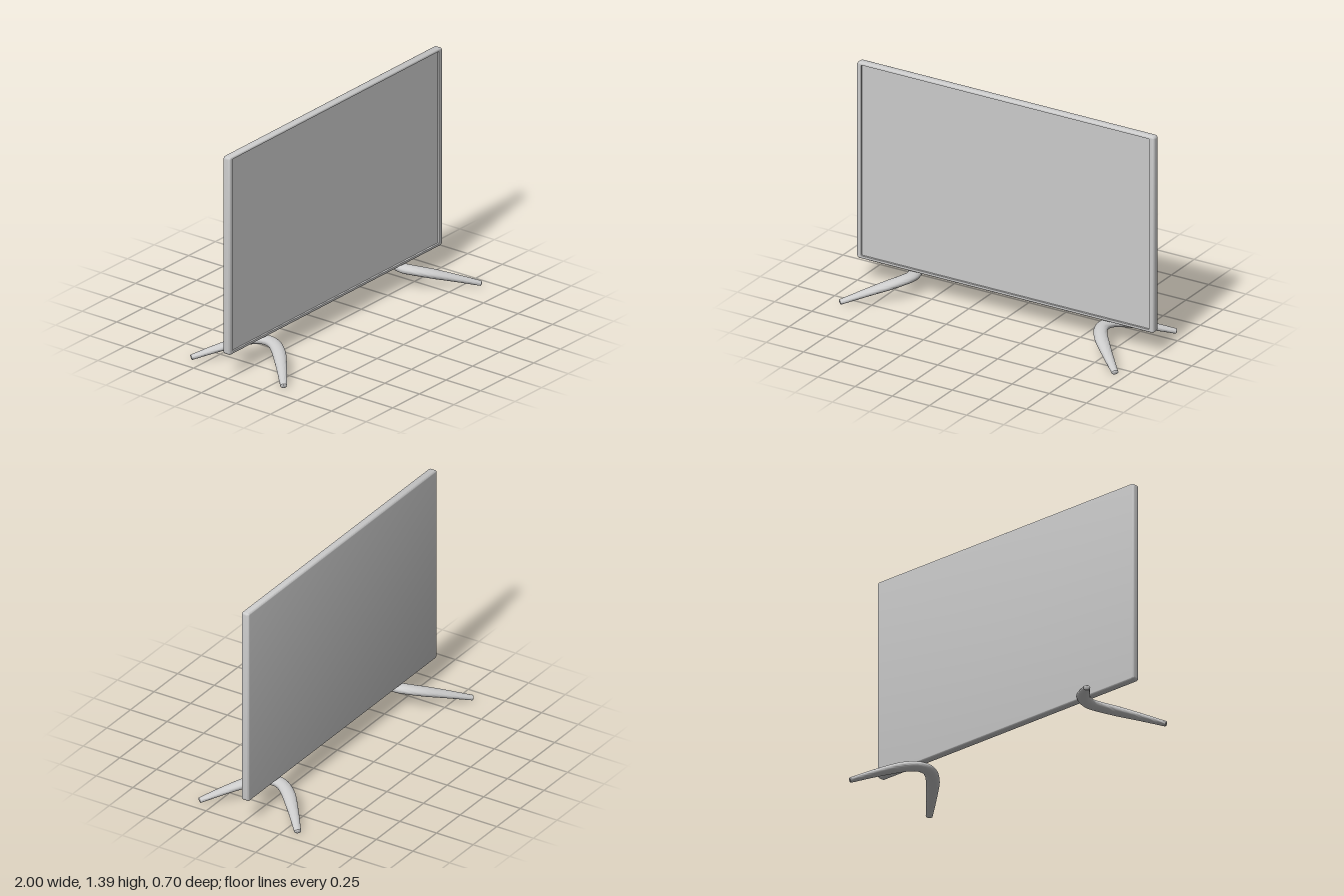
import * as THREE from 'three';
import { toCreasedNormals } from 'three/addons/utils/BufferGeometryUtils.js';

const material = new THREE.MeshStandardMaterial({ color: 0xcccccc });

// Skin a list of equally long closed rings (arrays of Vector3)
function loft(rings, crease) {
  const n = rings[0].length, pos = [], index = [];
  for (const ring of rings) for (const p of ring) pos.push(p.x, p.y, p.z);
  for (let i = 0; i < rings.length - 1; i++) {
    for (let k = 0; k < n; k++) {
      const a = i * n + k, b = i * n + (k + 1) % n;
      index.push(a, b, b + n, a, b + n, a + n);
    }
  }
  const g = new THREE.BufferGeometry();
  g.setAttribute('position', new THREE.Float32BufferAttribute(pos, 3));
  g.setIndex(index);
  return toCreasedNormals(g, crease);
}

// Rounded rectangle ring at depth z
function rectRing(hw, y0, y1, r, z) {
  const ring = [], steps = 5;
  const corners = [[hw - r, y1 - r], [-hw + r, y1 - r], [-hw + r, y0 + r], [hw - r, y0 + r]];
  corners.forEach(([cx, cy], q) => {
    for (let i = 0; i <= steps; i++) {
      const a = (q + i / steps) * Math.PI / 2;
      ring.push(new THREE.Vector3(cx + r * Math.cos(a), cy + r * Math.sin(a), z));
    }
  });
  return ring;
}

// Flat panel: back, rounded rim, narrow bezel and recessed screen
function panelGeometry() {
  const y0 = 0.15, y1 = 1.39, mid = (y0 + y1) / 2, back = -0.039, front = 0.011;
  const round = 0.012, steps = 4;
  const outer = (d, z) => rectRing(1 - d, y0 + d, y1 - d, 0.018 - d, z);
  const rings = [rectRing(0, mid, mid, 0, back)];
  for (let i = 0; i <= steps; i++) {
    const a = i / steps * Math.PI / 2;
    rings.push(outer(round * (1 - Math.sin(a)), back + round * (1 - Math.cos(a))));
  }
  for (let i = 0; i <= steps; i++) {
    const a = i / steps * Math.PI / 2;
    rings.push(outer(round * (1 - Math.cos(a)), front - round * (1 - Math.sin(a))));
  }
  const inner = z => rectRing(0.968, y0 + 0.02, y1 - 0.016, 0.003, z);
  rings.push(inner(front), inner(front - 0.012), rectRing(0, mid, mid, 0, front - 0.012));
  return loft(rings, 0.6);
}

// Boomerang stand: tapered oval section swept from the rear tip to the front tip
function standGeometry(side) {
  const half = [[0.937, 0.019, 0.334], [0.82, 0.066, 0.228], [0.712, 0.105, 0.12], [0.67, 0.117, 0.055]];
  const toPoint = ([x, y, z], dir) => new THREE.Vector3(0.013 + side * (x - 0.013), y, dir * z);
  const path = new THREE.CatmullRomCurve3([
    ...half.map(p => toPoint(p, -1)),
    toPoint([0.657, 0.118, 0], 1),
    ...half.slice().reverse().map(p => toPoint(p, 1)),
  ]);
  const up = new THREE.Vector3(0, 1, 0), segments = 40, sides = 24, rings = [];
  const addRing = (u, scale, push = 0) => {
    const c = path.getPointAt(u), t = path.getTangentAt(u);
    c.addScaledVector(t, push);
    const a = up.clone().cross(t).normalize(), b = t.clone().cross(a);
    const taper = Math.min(1, (1 - Math.abs(2 * u - 1)) / 0.62);
    const w = THREE.MathUtils.lerp(0.02, 0.04, taper) * scale;
    const h = THREE.MathUtils.lerp(0.015, 0.027, taper) * scale;
    rings.push(Array.from({ length: sides }, (_, k) => {
      const q = k / sides * Math.PI * 2;
      return c.clone().addScaledVector(a, w * Math.cos(q)).addScaledVector(b, h * Math.sin(q));
    }));
  };
  addRing(0, 0, -0.005);
  addRing(0, 0.75, -0.004);
  for (let i = 0; i <= segments; i++) addRing(i / segments, 1);
  addRing(1, 0.75, 0.004);
  addRing(1, 0, 0.005);
  return loft(rings, 0.7);
}

export function createModel() {
  const group = new THREE.Group();
  const add = (name, geometry) => {
    const mesh = new THREE.Mesh(geometry, material);
    mesh.name = name;
    group.add(mesh);
  };
  add('screenPanel', panelGeometry());
  add('leftStand', standGeometry(1));
  add('rightStand', standGeometry(-1));
  return group;
}
